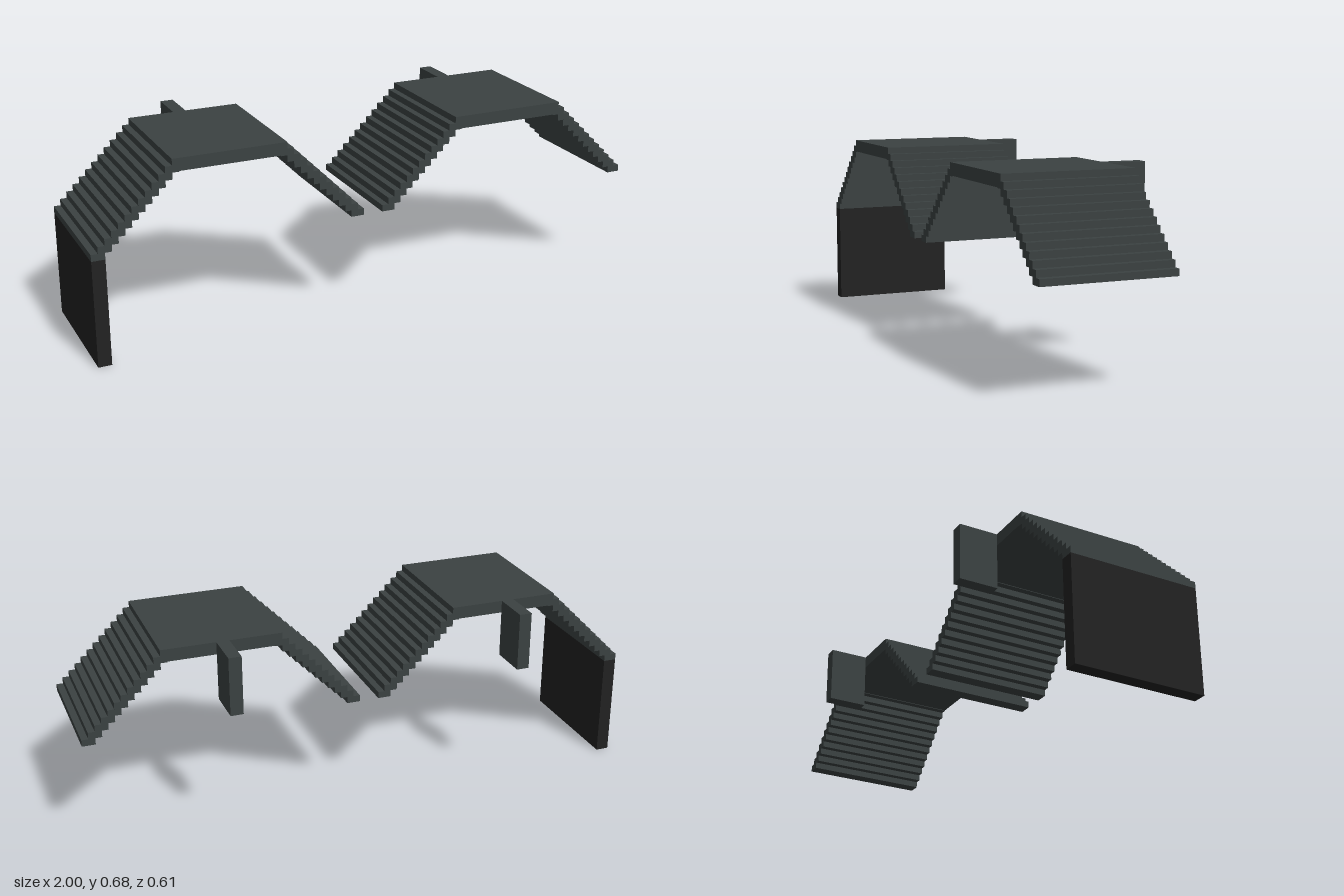
import * as THREE from 'three';

const slate = new THREE.MeshStandardMaterial({ color: 0x3b4242 });
slate.name = 'dark slate';
const black = new THREE.MeshStandardMaterial({ color: 0x222222 });
black.name = 'soft black';

const BACK = -0.162, FRONT = 0.303;      // depth of decks and stairs
const STEPS = 12, PITCH = 0.02325;       // each step overlaps half of the next
const STAIR_BASE = 0.373, TOP = 0.675;

// Box given by its extents on each axis
function block(name, material, x0, x1, y0, y1, z0 = BACK, z1 = FRONT) {
  const mesh = new THREE.Mesh(new THREE.BoxGeometry(x1 - x0, y1 - y0, z1 - z0), material);
  mesh.position.set((x0 + x1) / 2, (y0 + y1) / 2, (z0 + z1) / 2);
  mesh.name = name;
  return mesh;
}

// Flight of steps climbing from the outer edge x in direction dir
function stairs(name, x, dir) {
  const group = new THREE.Group();
  group.name = name;
  for (let i = 0; i < STEPS; i++) {
    const a = x + dir * i * PITCH, b = a + dir * 2 * PITCH;
    const y = STAIR_BASE + i * PITCH;
    group.add(block('step', slate, Math.min(a, b), Math.max(a, b), y, y + PITCH));
  }
  return group;
}

// Raised deck with stairs on both sides and a bracket at the back
function bridge(name, x0, x1, bracketX) {
  const group = new THREE.Group();
  group.name = name;
  const run = STEPS * PITCH;
  group.add(
    stairs('rightStairs', x0, 1),
    stairs('leftStairs', x1, -1),
    block('deck', slate, x0 + run, x1 - run, 0.631, TOP),
    block('backBracket', slate, bracketX - 0.0225, bracketX + 0.0225, 0.468, TOP, -0.303, BACK)
  );
  return group;
}

export function createModel() {
  const model = new THREE.Group();
  model.name = 'steppedBridges';
  model.add(
    bridge('rightBridge', -1, -0.047, -0.537),
    bridge('leftBridge', 0.023, 1, 0.508),
    block('supportWall', black, -1, -0.9535, 0, STAIR_BASE)
  );
  return model;
}
